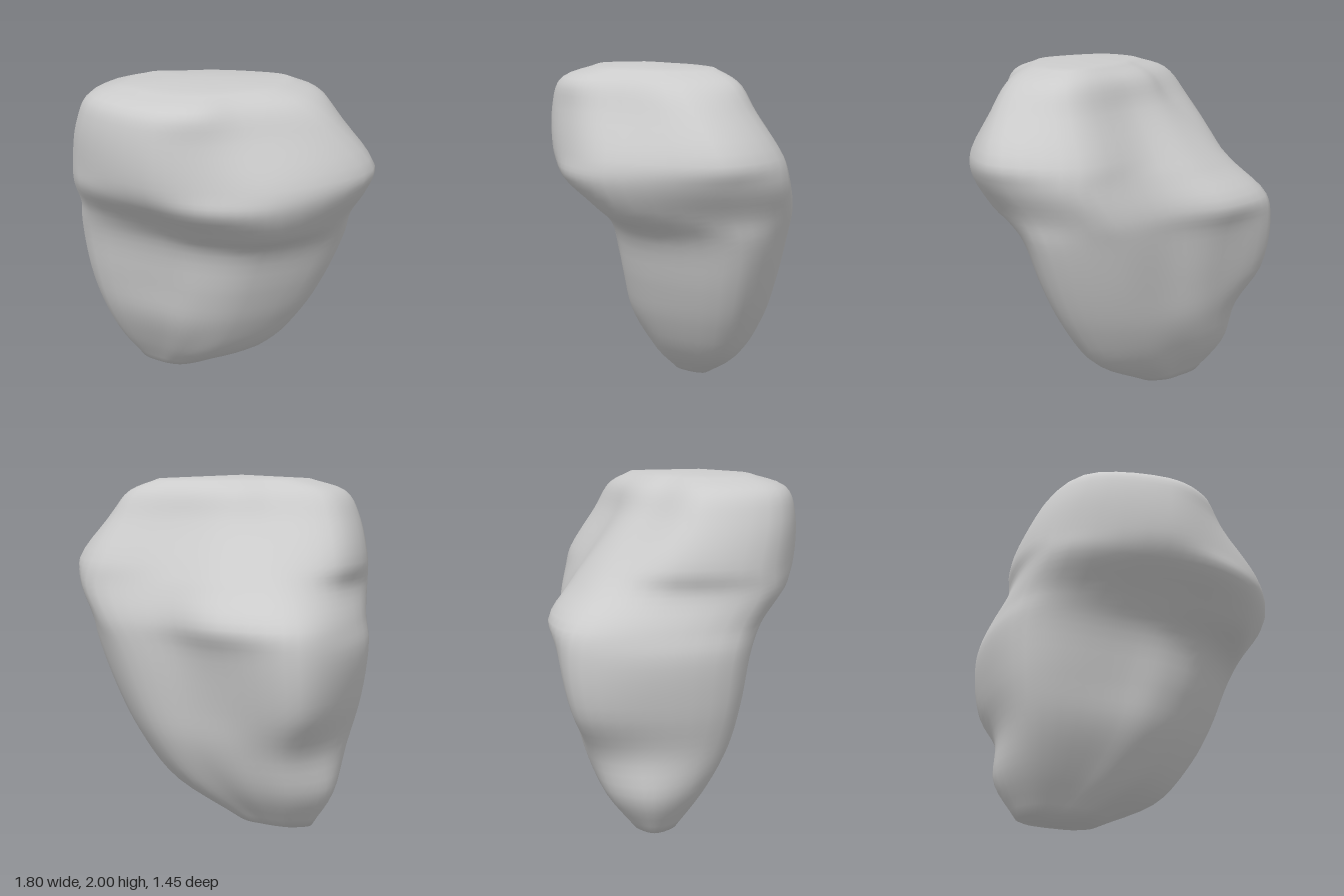
import * as THREE from 'three';

// Directions of the vertical ridges, in degrees from +x towards +z
const ANGLES = [-10, 35, 65, 95, 145, 185, 215, 243, 280, 318].map(THREE.MathUtils.degToRad);

// Horizontal cross-sections, bottom to top:
// height, centre x, centre z, then one radius per ridge
const SECTIONS = [
  [0.03, -0.42, -0.15, 0.24, 0.17, 0.14, 0.13, 0.18, 0.23, 0.18, 0.14, 0.13, 0.18],
  [0.25, -0.30, -0.15, 0.54, 0.39, 0.31, 0.28, 0.42, 0.48, 0.43, 0.33, 0.29, 0.40],
  [0.50, -0.20, -0.15, 0.65, 0.49, 0.44, 0.41, 0.61, 0.58, 0.57, 0.44, 0.40, 0.52],
  [0.75, -0.15, -0.15, 0.74, 0.56, 0.50, 0.46, 0.72, 0.71, 0.76, 0.51, 0.44, 0.60],
  [1.05, -0.10, -0.15, 0.81, 0.64, 0.56, 0.53, 0.80, 0.80, 0.84, 0.59, 0.47, 0.67],
  [1.20, -0.05, -0.10, 0.81, 0.76, 0.65, 0.59, 0.81, 0.81, 0.88, 0.70, 0.53, 0.74],
  [1.38, 0.00, 0.00, 0.88, 0.76, 0.71, 0.67, 0.83, 0.78, 0.79, 0.66, 0.56, 0.83],
  [1.50, 0.00, 0.00, 0.92, 0.75, 0.70, 0.72, 0.83, 0.79, 0.66, 0.55, 0.49, 0.80],
  [1.75, 0.00, 0.10, 0.76, 0.54, 0.56, 0.62, 0.74, 0.70, 0.48, 0.43, 0.43, 0.72],
  [1.90, 0.00, 0.15, 0.60, 0.42, 0.48, 0.52, 0.64, 0.60, 0.40, 0.38, 0.41, 0.66],
  [1.98, 0.00, 0.15, 0.40, 0.29, 0.29, 0.30, 0.42, 0.36, 0.25, 0.24, 0.29, 0.48],
];
const ROWS = 44;
const COLS = 50;

function createRockGeometry() {
  // One vertical curve per ridge
  const ridges = ANGLES.map((a, k) => new THREE.CatmullRomCurve3(
    SECTIONS.map(([y, cx, cz, ...r]) =>
      new THREE.Vector3(cx + r[k] * Math.cos(a), y, cz + r[k] * Math.sin(a)))));

  // Closed rings through the ridges
  const positions = [];
  for (let i = 0; i <= ROWS; i++) {
    const ring = new THREE.CatmullRomCurve3(ridges.map((s) => s.getPoint(i / ROWS)), true);
    for (let j = 0; j < COLS; j++) positions.push(...ring.getPoint(j / COLS).toArray());
  }
  const bottom = positions.length / 3;
  positions.push(-0.43, 0, -0.15, 0, 2, 0.18);
  const top = bottom + 1;

  // Skin between the rings, closed at both ends
  const index = [];
  for (let j = 0; j < COLS; j++) {
    const n = (j + 1) % COLS;
    for (let i = 0; i < ROWS; i++) {
      const a = i * COLS + j, b = i * COLS + n;
      const c = a + COLS, d = b + COLS;
      index.push(a, c, b, b, c, d);
    }
    index.push(bottom, j, n);
    index.push(top, ROWS * COLS + n, ROWS * COLS + j);
  }

  const geometry = new THREE.BufferGeometry();
  geometry.setAttribute('position', new THREE.Float32BufferAttribute(positions, 3));
  geometry.setIndex(index);
  geometry.computeVertexNormals();
  return geometry;
}

export function createModel() {
  const group = new THREE.Group();
  group.name = 'boulder';
  const rock = new THREE.Mesh(
    createRockGeometry(),
    new THREE.MeshStandardMaterial({ color: 0xcccccc }),
  );
  rock.name = 'rock';
  group.add(rock);
  return group;
}
